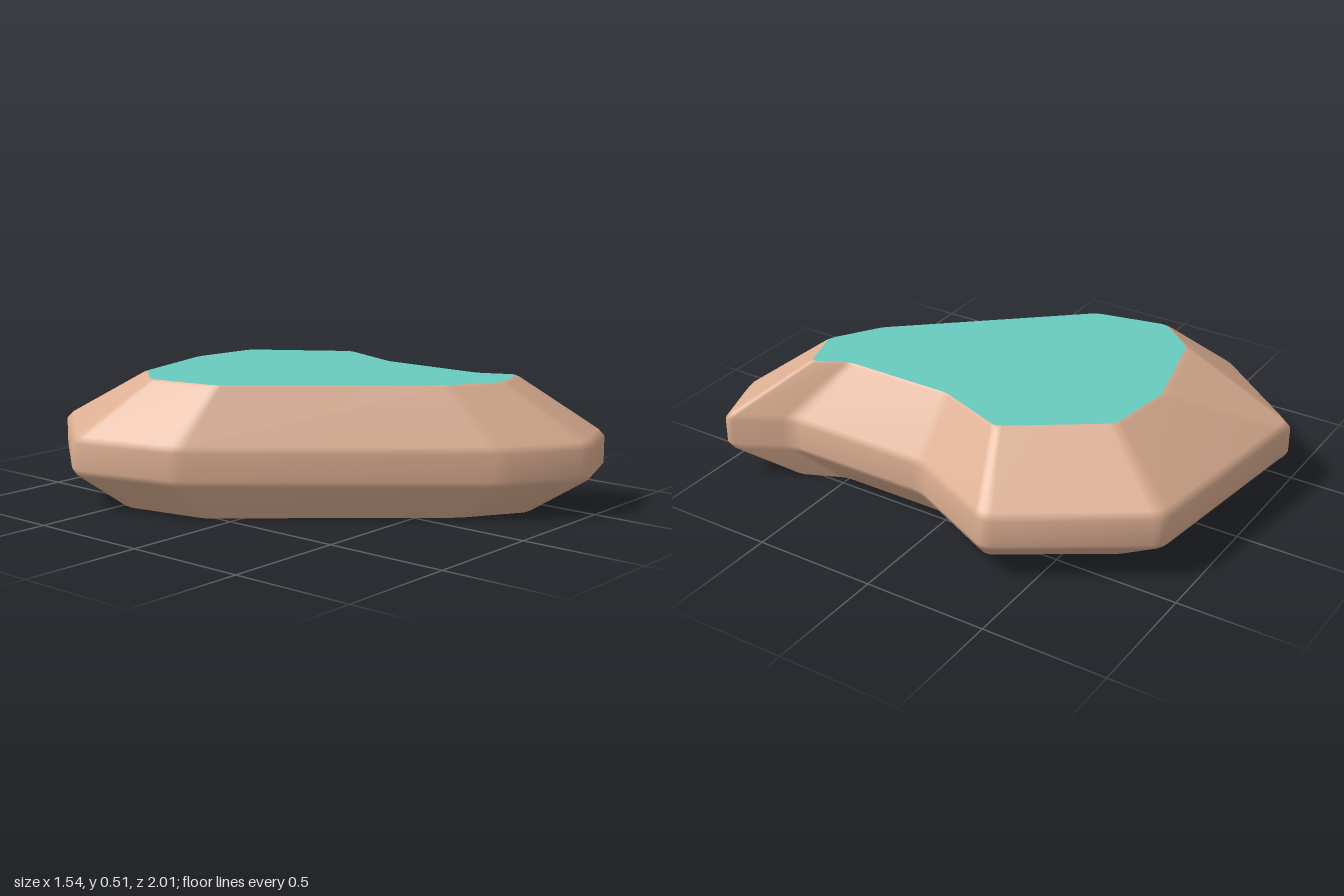
import * as THREE from 'three';

// Each corner, clockwise from above: outer edge x, z | top edge x, z | bottom edge x, z
const CORNERS = [
  [-0.43, -1.01, -0.40, -0.55, -0.38, -0.79],
  [-0.39, -1.00, 0.00, -0.65, -0.34, -0.79],
  [0.42, -0.90, 0.28, -0.61, 0.33, -0.69],
  [0.78, -0.35, 0.53, -0.25, 0.61, -0.26],
  [0.59, 0.05, 0.42, 0.04, 0.46, 0.04],
  [0.59, 0.67, 0.42, 0.49, 0.46, 0.51],
  [0.72, 0.91, 0.49, 0.63, 0.54, 0.69],
  [0.44, 1.01, 0.30, 0.69, 0.36, 0.78],
  [0.14, 0.81, 0.11, 0.57, 0.12, 0.63],
  [-0.66, -0.14, -0.47, -0.10, -0.53, -0.11],
  [-0.78, -0.58, -0.53, -0.39, -0.60, -0.46],
];

// Outline with every corner replaced by a short curve
function roundedOutline(column, radius) {
  const pts = CORNERS.map((c) => new THREE.Vector2(c[column], c[column + 1]));
  const n = pts.length;
  const out = [];
  const towards = (p, q) => p.clone().lerp(q, Math.min(0.35, radius / p.distanceTo(q)));
  pts.forEach((p, i) => {
    const curve = new THREE.QuadraticBezierCurve(
      towards(p, pts[(i + n - 1) % n]), p, towards(p, pts[(i + 1) % n]));
    out.push(...curve.getPoints(3));
  });
  return out;
}

// Flat lid facing up or down
function lid(outline, y, up) {
  const s = up ? -1 : 1;
  const shape = new THREE.Shape(outline.map((p) => new THREE.Vector2(p.x, s * p.y)));
  const geo = new THREE.ShapeGeometry(shape);
  geo.rotateX(s * Math.PI / 2);
  geo.translate(0, y, 0);
  return geo;
}

export function createModel() {
  const group = new THREE.Group();
  const earth = new THREE.MeshStandardMaterial({ color: 0xdcae92 });
  const grass = new THREE.MeshStandardMaterial({ color: 0x69cbbe });

  const outer = roundedOutline(0, 0.04);
  const top = roundedOutline(2, 0.025);
  const bottom = roundedOutline(4, 0.025);

  // Rings from the base to the top: blend from outer edge to inner edge, height
  const rings = [
    [bottom, 1, 0], [bottom, 0.94, 0.006], [bottom, 0.07, 0.14], [outer, 0, 0.165],
    [outer, 0, 0.27], [top, 0.07, 0.298], [top, 0.95, 0.505], [top, 1, 0.513],
  ];
  const n = outer.length;
  const positions = [];
  const index = [];
  rings.forEach(([inner, f, y], r) => {
    for (let i = 0; i < n; i++) {
      const p = outer[i].clone().lerp(inner[i], f);
      positions.push(p.x, y, p.y);
      if (r === 0) continue;
      const j = (i + 1) % n;
      const a = (r - 1) * n + i, b = (r - 1) * n + j, c = r * n + i, d = r * n + j;
      index.push(a, c, b, b, c, d);
    }
  });
  const sideGeo = new THREE.BufferGeometry();
  sideGeo.setAttribute('position', new THREE.Float32BufferAttribute(positions, 3));
  sideGeo.setIndex(index);
  sideGeo.computeVertexNormals();

  const add = (geo, mat, name) => {
    const mesh = new THREE.Mesh(geo, mat);
    mesh.name = name;
    group.add(mesh);
  };
  add(sideGeo, earth, 'rockSides');
  add(lid(bottom, 0, false), earth, 'rockBase');
  add(lid(top, 0.513, true), grass, 'grassTop');
  group.name = 'rockPlatform';
  return group;
}
